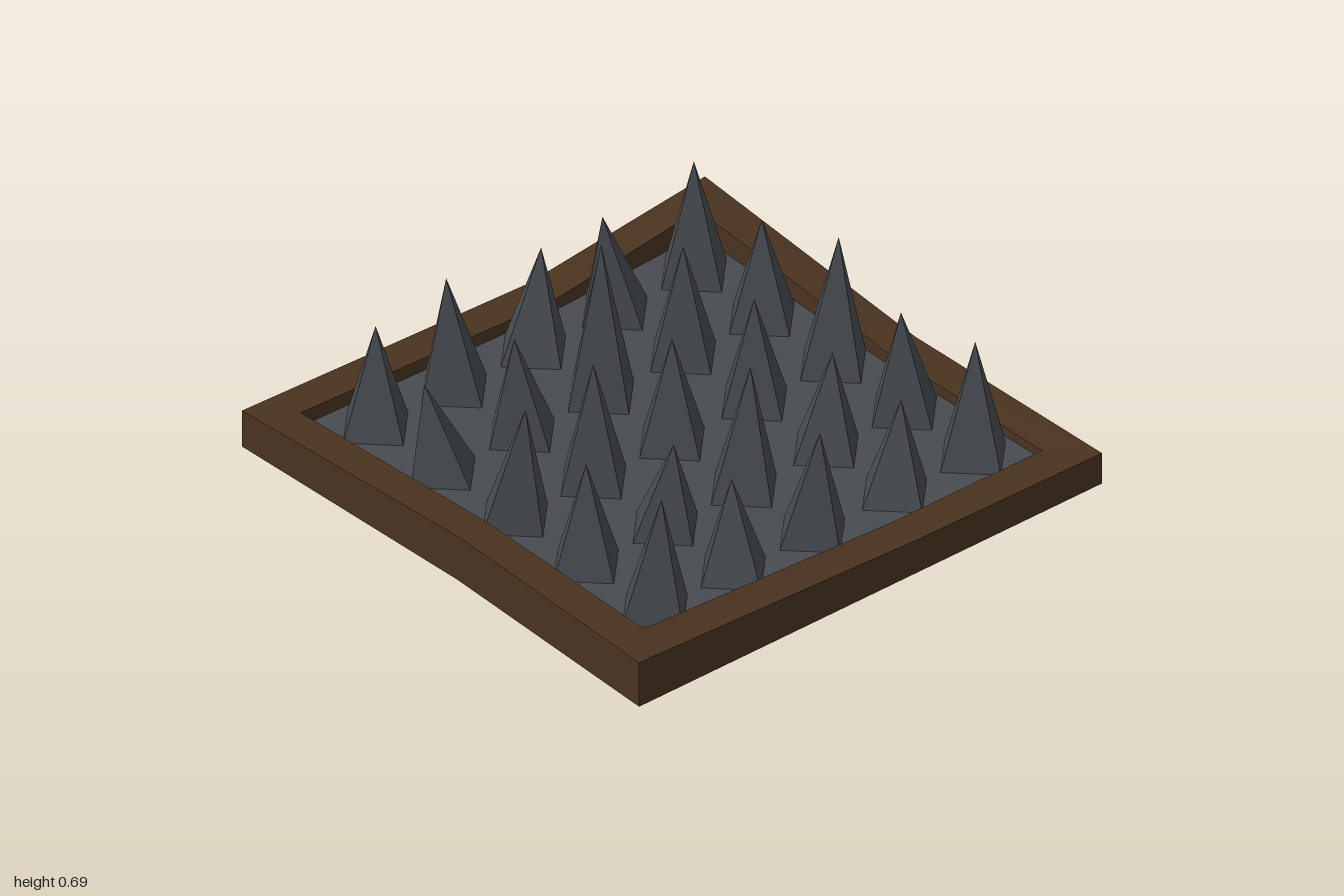
import * as THREE from 'three';

// Both colours cover open sheets, so both are double sided
const wood = new THREE.MeshStandardMaterial({ color: 0x4a3320, side: THREE.DoubleSide });
wood.name = 'darkWood';
const metal = new THREE.MeshStandardMaterial({ color: 0x474b50, side: THREE.DoubleSide });
metal.name = 'greyMetal';

const PLATE_Y = 0.088;
const SPIKE_BASE_Y = 0.074;

// Warped frame stations, going round: outer x, z, inner x, z, top height
const STATIONS = [
  [-1, 1, -0.86, 0.86, 0.175],
  [0.2, 1, 0.2, 0.868, 0.13],
  [1, 1, 0.86, 0.86, 0.12],
  [0.965, 0.1, 0.835, 0.1, 0.133],
  [1, -1, 0.857, -0.865, 0.185],
  [0.2, -0.965, 0.2, -0.835, 0.13],
  [-1, -1, -0.862, -0.865, 0.142],
  [-0.97, 0.05, -0.843, 0.05, 0.173],
];

const COLUMNS = [-0.68, -0.34, 0, 0.355, 0.695];
const ROWS = [-0.7, -0.358, 0, 0.36, 0.705];
// Tip of each spike: lean in x, lean in z, height
const TIPS = [
  [[0, 0, 0.49], [-0.035, 0, 0.545], [0.035, 0, 0.485], [-0.055, 0, 0.49], [0, 0, 0.535]],
  [[-0.055, -0.032, 0.44], [-0.035, 0, 0.48], [0, 0, 0.69], [0, 0, 0.525], [0, 0, 0.48]],
  [[0, 0.055, 0.55], [0, 0, 0.55], [0, 0, 0.5], [0, 0, 0.5], [0.025, 0, 0.585]],
  [[0, 0, 0.49], [0, 0.045, 0.44], [0.03, 0, 0.56], [0.03, 0, 0.46], [-0.015, 0, 0.49]],
  [[0, 0.035, 0.545], [0.005, -0.015, 0.45], [0, 0.04, 0.51], [0.03, 0, 0.45], [0.01, 0, 0.54]],
];

function flatMesh(geometry, material, name) {
  const flat = geometry.toNonIndexed();
  flat.computeVertexNormals();
  const mesh = new THREE.Mesh(flat, material);
  mesh.name = name;
  return mesh;
}

// Hollow section, open underneath: outer wall, top and short inner wall
function frameGeometry() {
  const points = [];
  const index = [];
  const n = STATIONS.length;
  for (const [ox, oz, ix, iz, top] of STATIONS) {
    points.push(ox, 0, oz, ox, top, oz, ix, top, iz, ix, PLATE_Y, iz);
  }
  for (let i = 0; i < n; i++) {
    for (let k = 0; k < 3; k++) {
      const a = i * 4 + k;
      const c = ((i + 1) % n) * 4 + k;
      index.push(a, c, c + 1, a, c + 1, a + 1);
    }
  }
  const geometry = new THREE.BufferGeometry();
  geometry.setAttribute('position', new THREE.Float32BufferAttribute(points, 3));
  geometry.setIndex(index);
  return geometry;
}

// Four-sided spike whose tip may lean off centre
function spikeGeometry(leanX, leanZ, h) {
  const geometry = new THREE.ConeGeometry(0.145, h, 4);
  geometry.translate(0, h / 2, 0);
  const p = geometry.attributes.position;
  for (let i = 0; i < p.count; i++) {
    const t = p.getY(i) / h;
    p.setX(i, p.getX(i) + leanX * t);
    p.setZ(i, p.getZ(i) + leanZ * t);
  }
  return geometry;
}

export function createModel() {
  const model = new THREE.Group();
  model.name = 'spikeTrap';
  model.add(flatMesh(frameGeometry(), wood, 'woodenFrame'));

  // Floor sheet filling the inside of the frame
  const outline = new THREE.Shape(STATIONS.map((s) => new THREE.Vector2(s[2], -s[3])));
  const plate = new THREE.ShapeGeometry(outline);
  plate.rotateX(-Math.PI / 2);
  plate.translate(0, PLATE_Y, 0);
  model.add(flatMesh(plate, metal, 'floorPlate'));

  // Spikes pass through the sheet and show slightly underneath
  const spikes = new THREE.Group();
  spikes.name = 'spikes';
  ROWS.forEach((z, r) => COLUMNS.forEach((x, c) => {
    const [leanX, leanZ, tipY] = TIPS[r][c];
    const spike = flatMesh(spikeGeometry(leanX, leanZ, tipY - SPIKE_BASE_Y), metal, 'spike');
    spike.position.set(x, SPIKE_BASE_Y, z);
    spikes.add(spike);
  }));
  model.add(spikes);
  return model;
}
